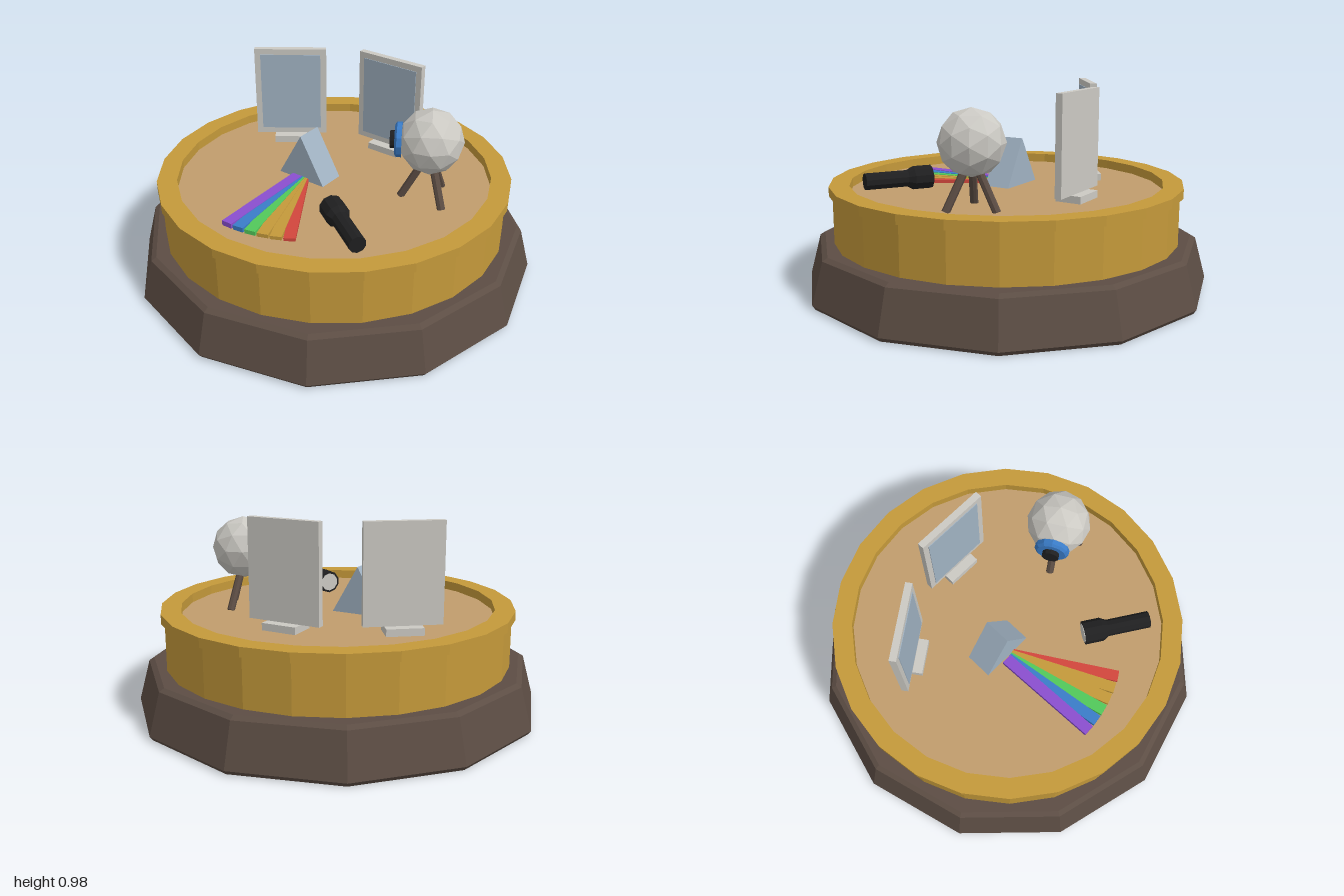
import * as THREE from 'three';

const COLORS = {
  brown: 0x5c4d44, gold: 0xc4993a, tan: 0xc19d6c, paleGrey: 0xcbc9c3, glass: 0xa0b2c2,
  black: 0x1f1f20, violet: 0x8a4fcf, blue: 0x3a7cc8, green: 0x52c85a, red: 0xd2463c,
};
const FLOOR = 0.47;

export function createModel() {
  const mats = {};
  for (const [name, color] of Object.entries(COLORS)) {
    mats[name] = new THREE.MeshStandardMaterial({ color, flatShading: true });
    mats[name].name = name;
  }
  const model = new THREE.Group();
  model.name = 'opticsDisplay';

  const add = (parent, name, geo, mat, x = 0, y = 0, z = 0) => {
    const mesh = new THREE.Mesh(geo, mats[mat]);
    mesh.name = name;
    mesh.position.set(x, y, z);
    parent.add(mesh);
    return mesh;
  };
  const group = (name, x, y, z, turn = 0) => {
    const g = new THREE.Group();
    g.name = name;
    g.position.set(x, y, z);
    g.rotation.y = turn;
    model.add(g);
    return g;
  };
  const box = (w, h, d) => new THREE.BoxGeometry(w, h, d);
  const lathe = (pts, sides) =>
    new THREE.LatheGeometry(pts.map(([r, y]) => new THREE.Vector2(r, y)), sides);
  // profile along +z instead of +y
  const latheZ = (pts, sides) => lathe(pts, sides).rotateX(Math.PI / 2);

  // Twelve-sided plinth, gold drum with raised rim, recessed floor
  add(model, 'plinth', lathe(
    [[0, 0], [0.985, 0], [1, 0.02], [0.945, 0.222], [0.92, 0.237], [0, 0.237]], 12), 'brown');
  add(model, 'drumAndRim', lathe(
    [[0.85, 0.23], [0.85, FLOOR], [0.867, FLOOR], [0.867, 0.515], [0.77, 0.515], [0.77, FLOOR - 0.01]], 24), 'gold');
  add(model, 'floor', new THREE.CylinderGeometry(0.775, 0.775, 0.02, 24), 'tan', 0, FLOOR - 0.01, 0);

  // Framed mirrors on small feet
  const mirrors = [['backMirror', 0.05, -0.417, 0], ['sideMirror', -0.445, -0.217, 0.62]];
  for (const [name, x, z, turn] of mirrors) {
    const g = group(name, x, FLOOR, z, turn);
    add(g, 'mirrorFoot', box(0.175, 0.035, 0.13), 'paleGrey', 0, 0.0175, 0);
    add(g, 'mirrorFrame', box(0.37, 0.475, 0.033), 'paleGrey', 0, 0.2725, 0);
    add(g, 'mirrorGlass', box(0.31, 0.415, 0.006), 'glass', 0, 0.2725, 0.017);
  }

  // Triangular prism
  const tri = new THREE.Shape([[-0.135, 0], [0.135, 0], [0, 0.235]].map(([x, y]) => new THREE.Vector2(x, y)));
  add(model, 'prism', new THREE.ExtrudeGeometry(tri, { depth: 0.135, bevelEnabled: false }),
    'glass', -0.118, FLOOR, -0.02);

  // Fan of coloured light strips leaving the prism
  ['violet', 'blue', 'green', 'gold', 'gold', 'red'].forEach((color, i) => {
    const h = 0.025 - i * 0.002;
    const g = group('lightStrip' + (i + 1), -0.134 + i * 0.0075, FLOOR, 0.125, THREE.MathUtils.degToRad(2 + i * 6));
    add(g, 'strip', box(0.054, h, 0.53), color, 0, h / 2, 0.265);
  });

  // Faceted ball with an eyepiece on a tripod
  const ball = group('ballOnTripod', 0.473, 0.77, -0.115, Math.atan2(-0.86, 0.5));
  add(ball, 'ball', new THREE.IcosahedronGeometry(0.155, 1), 'paleGrey');
  add(ball, 'eyeRing', latheZ([[0, 0.135], [0.083, 0.135], [0.083, 0.158], [0.07, 0.168], [0, 0.168]], 12), 'blue');
  add(ball, 'eyeLens', latheZ([[0, 0.16], [0.042, 0.16], [0.042, 0.19], [0, 0.19]], 10), 'black');
  for (let i = 0; i < 3; i++) {
    const a = i * Math.PI * 2 / 3;
    const top = new THREE.Vector3(Math.sin(a) * 0.035, -0.12, Math.cos(a) * 0.035);
    const foot = new THREE.Vector3(Math.sin(a) * 0.13, -0.3, Math.cos(a) * 0.13);
    const dir = top.clone().sub(foot);
    const leg = add(ball, 'tripodLeg', new THREE.CylinderGeometry(0.019, 0.019, dir.length(), 8), 'brown');
    leg.position.copy(top).add(foot).multiplyScalar(0.5);
    leg.quaternion.setFromUnitVectors(new THREE.Vector3(0, 1, 0), dir.normalize());
  }

  // Torch lying on the floor, its lens towards the prism
  const torch = group('torch', 0.353, 0.532, 0.401, Math.atan2(-0.278, -0.182));
  add(torch, 'torchBody', latheZ(
    [[0, -0.166], [0.041, -0.166], [0.041, 0.045], [0.058, 0.075], [0.058, 0.166], [0, 0.166]], 10), 'black');
  add(torch, 'torchLens', latheZ([[0, 0.16], [0.047, 0.16], [0.047, 0.169], [0, 0.169]], 10), 'paleGrey');

  return model;
}
